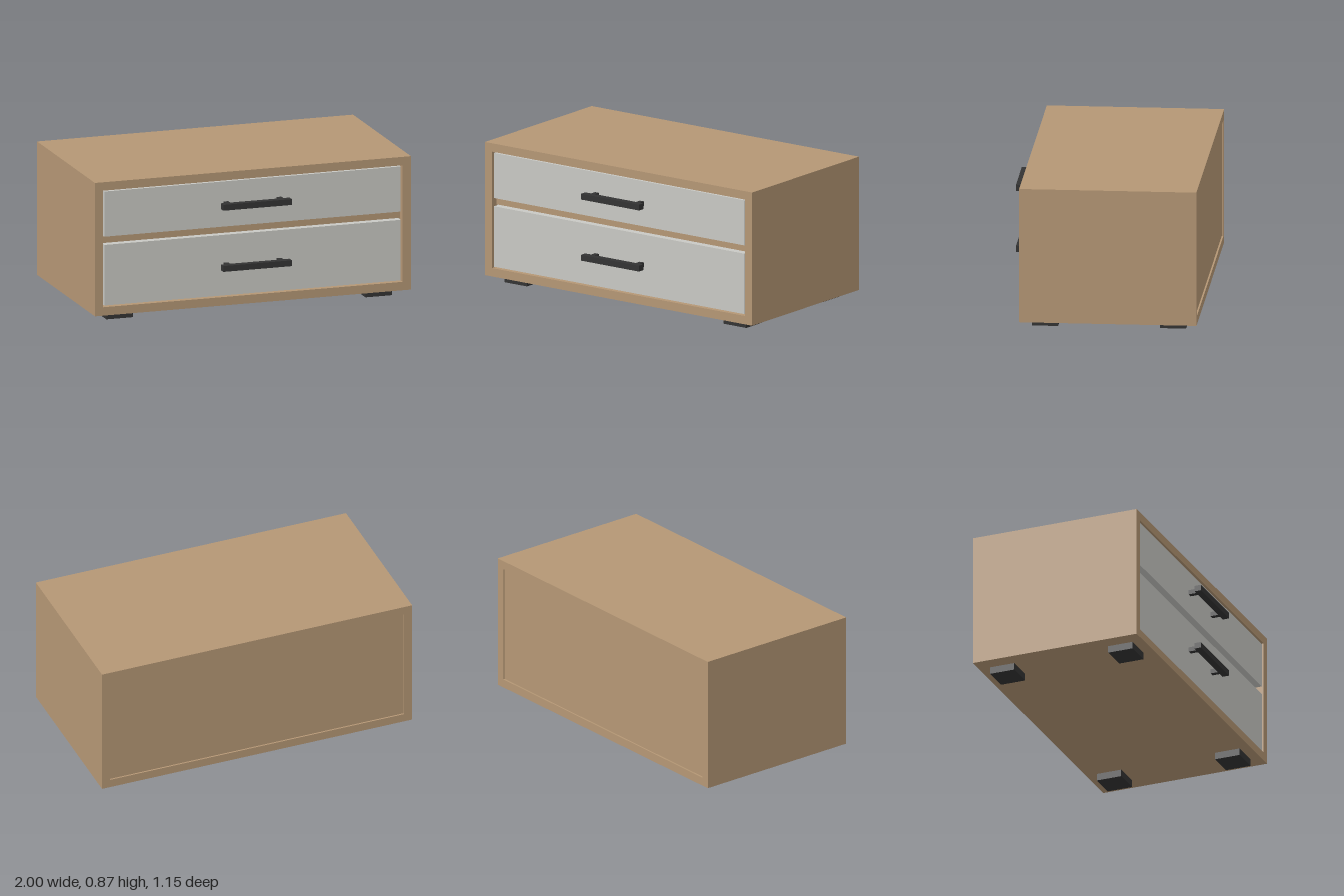
import * as THREE from 'three';

export function createModel() {
  const model = new THREE.Group();
  model.name = 'drawerUnit';

  const material = (name, color) => {
    const m = new THREE.MeshStandardMaterial({ color });
    m.name = name;
    return m;
  };
  const wood = material('oak wood', 0xb59775);
  const grey = material('light grey', 0xc9c9c4);
  const black = material('matte black', 0x333333);

  // Box given by its minimum and maximum on each axis
  const box = (name, mat, [x0, x1], [y0, y1], [z0, z1], parent = model) => {
    const mesh = new THREE.Mesh(new THREE.BoxGeometry(x1 - x0, y1 - y0, z1 - z0), mat);
    mesh.position.set((x0 + x1) / 2, (y0 + y1) / 2, (z0 + z1) / 2);
    mesh.name = name;
    parent.add(mesh);
  };

  // Carcass
  const depth = [-0.575, 0.49];
  box('topPanel', wood, [-1, 1], [0.815, 0.867], depth);
  box('bottomPanel', wood, [-1, 1], [0.043, 0.095], depth);
  box('leftPanel', wood, [0.948, 1], [0.095, 0.815], depth);
  box('rightPanel', wood, [-1, -0.948], [0.095, 0.815], depth);
  box('backPanel', wood, [-0.948, 0.948], [0.095, 0.815], [-0.565, -0.535]);
  box('middleRail', wood, [-0.948, 0.948], [0.48, 0.52], [-0.535, 0.445]);

  // Drawers with bar handles
  const drawers = [
    ['upperDrawer', 0.528, 0.807, 0.669],
    ['lowerDrawer', 0.103, 0.477, 0.291],
  ];
  for (const [name, y0, y1, handleY] of drawers) {
    const drawer = new THREE.Group();
    drawer.name = name;
    model.add(drawer);
    box('drawerFront', grey, [-0.938, 0.938], [y0, y1], [0.435, 0.482], drawer);
    box('drawerBody', grey, [-0.946, 0.946], [y0 - 0.006, y1 + 0.002], [-0.5, 0.435], drawer);
    box('handleBar', black, [-0.217, 0.217], [handleY - 0.018, handleY + 0.018], [0.533, 0.575], drawer);
    for (const x of [-0.168, 0.168]) {
      box('handlePost', black, [x - 0.015, x + 0.015], [handleY - 0.014, handleY + 0.014], [0.48, 0.535], drawer);
    }
  }

  // Feet
  for (const x of [-0.82, 0.82]) {
    for (const z of [-0.426, 0.343]) {
      box('foot', black, [x - 0.084, x + 0.084], [0, 0.043], [z - 0.079, z + 0.079]);
    }
  }

  return model;
}
